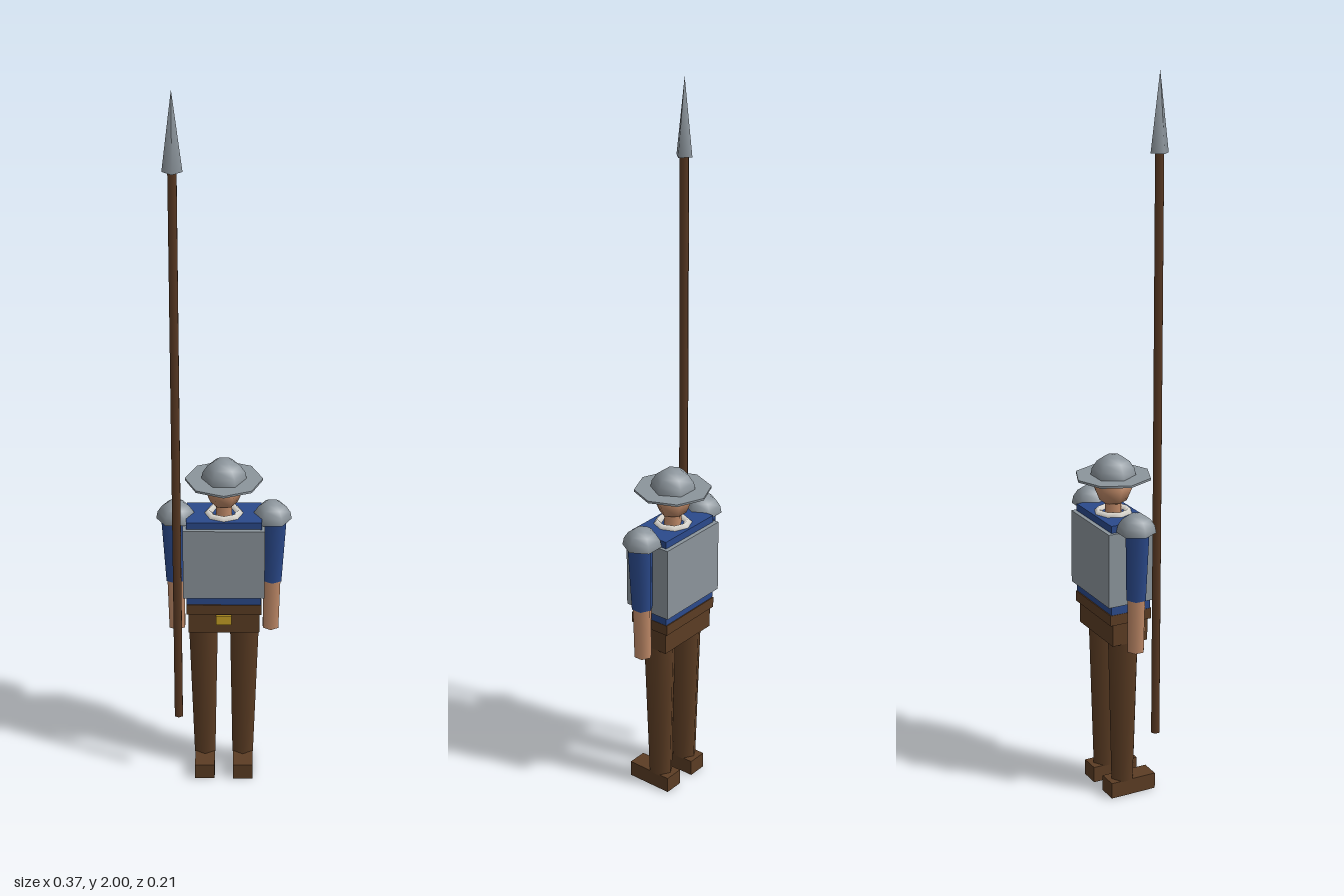
import * as THREE from 'three';

const mat = (name, color) => {
  const m = new THREE.MeshStandardMaterial({ color });
  m.name = name;
  return m;
};

export function createModel() {
  const steel = mat('steel', 0x8c959c);
  const blue = mat('blue cloth', 0x2b4a8c);
  const skin = mat('skin', 0xc08a68);
  const leather = mat('brown leather', 0x5c3d24);
  const wood = mat('wood', 0x5a3a24);
  const linen = mat('white linen', 0xe8e4dc);
  const brass = mat('brass', 0xc9a227);

  const model = new THREE.Group();
  model.name = 'pikeman';

  const add = (name, geometry, material, x, y, z) => {
    const mesh = new THREE.Mesh(geometry, material);
    mesh.name = name;
    mesh.position.set(x, y, z);
    model.add(mesh);
    return mesh;
  };
  // Box given by its bottom and top heights
  const box = (name, material, w, d, y0, y1, x = 0, z = 0) =>
    add(name, new THREE.BoxGeometry(w, y1 - y0, d), material, x, (y0 + y1) / 2, z);
  // Tapered limb, optionally leaning from its bottom x to its top x
  const limb = (name, material, rTop, rBottom, y0, y1, xTop = 0, xBottom = xTop, z = 0, sides = 6) => {
    const mesh = add(name, new THREE.CylinderGeometry(rTop, rBottom, y1 - y0, sides), material,
      (xTop + xBottom) / 2, (y0 + y1) / 2, z);
    mesh.rotation.z = -Math.atan2(xTop - xBottom, y1 - y0);
    return mesh;
  };
  // Six-sided half dome with a closed underside
  const dome = (name, r, x, y) => {
    add(name, new THREE.SphereGeometry(r, 6, 4, 0, Math.PI * 2, 0, Math.PI / 2), steel, x, y, 0);
    const base = add(name + 'Underside', new THREE.CircleGeometry(r, 6), steel, x, y, 0);
    base.rotation.x = Math.PI / 2;
  };

  // Body
  box('torso', blue, 0.204, 0.118, 0.55, 0.815);
  box('breastplate', steel, 0.222, 0.142, 0.587, 0.795);
  box('belt', leather, 0.206, 0.124, 0.53, 0.56);
  box('hips', leather, 0.196, 0.106, 0.467, 0.535);
  box('buckle', brass, 0.042, 0.009, 0.497, 0.524, 0, 0.057);

  // Head, neck and collar
  limb('neck', skin, 0.024, 0.026, 0.8, 0.86);
  add('head', new THREE.SphereGeometry(0.052, 6, 4), skin, 0, 0.885, 0);
  const collar = add('collar', new THREE.TorusGeometry(0.042, 0.013, 4, 8), linen, 0, 0.813, 0);
  collar.rotation.x = Math.PI / 2;

  // Helmet
  limb('helmetBrim', steel, 0.105, 0.105, 0.914, 0.92, 0, 0, 0, 8);
  dome('helmetDome', 0.062, 0, 0.915);

  // Arms, legs and boots, mirrored
  for (const [side, s] of [['left', 1], ['right', -1]]) {
    dome(side + 'ShoulderPlate', 0.053, s * 0.131, 0.798);
    limb(side + 'Sleeve', blue, 0.036, 0.03, 0.61, 0.8, s * 0.138, s * 0.132);
    limb(side + 'Forearm', skin, 0.027, 0.025, 0.458, 0.612, s * 0.132, s * 0.13);
    limb(side + 'Leg', leather, 0.046, 0.034, 0.044, 0.47, s * 0.057, s * 0.054);
    box(side + 'Boot', leather, 0.056, 0.136, 0, 0.046, s * 0.054, 0.021);
  }

  // Pike
  limb('pikeShaft', wood, 0.013, 0.013, 0.2, 1.8, -0.127, -0.127, 0.064);
  add('pikeHead', new THREE.ConeGeometry(0.026, 0.205, 4), steel, -0.127, 1.8975, 0.064);

  return model;
}
